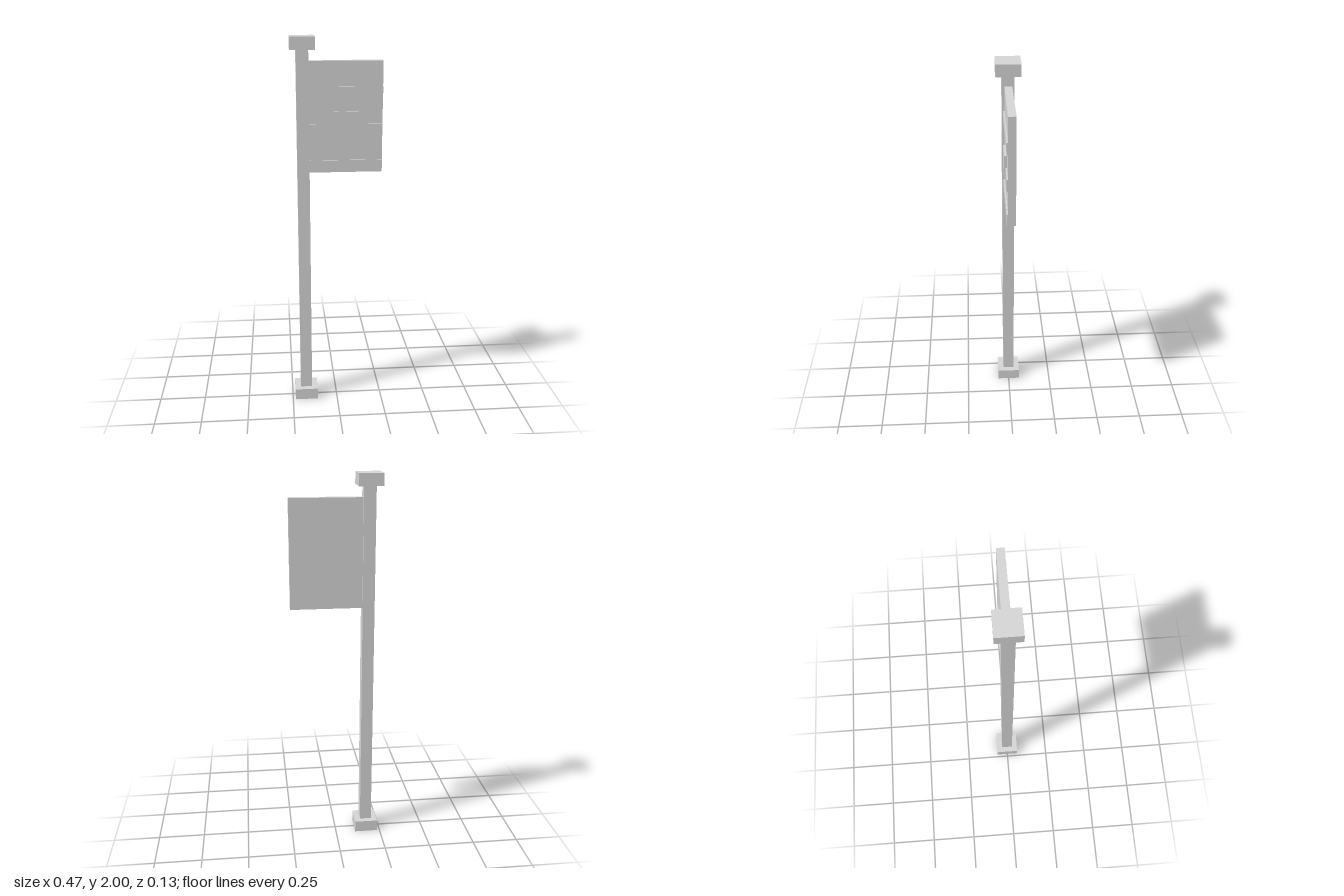
import * as THREE from 'three';

const U = 0.063; // base module of the design

export function createModel() {
  const model = new THREE.Group();
  const lightGrey = new THREE.MeshStandardMaterial({ color: 0xd6d6d6 });
  lightGrey.name = 'lightGrey';

  // Box given by its extents on each axis
  function block(name, [x0, x1], [y0, y1], [z0, z1]) {
    const mesh = new THREE.Mesh(new THREE.BoxGeometry(x1 - x0, y1 - y0, z1 - z0), lightGrey);
    mesh.name = name;
    mesh.position.set((x0 + x1) / 2, (y0 + y1) / 2, (z0 + z1) / 2);
    model.add(mesh);
  }

  // Pole with square foot and cap
  const px = -0.1725;
  block('pole', [px - U / 2, px + U / 2], [U, 2 - U], [-U / 2, U / 2]);
  block('foot', [px - U, px + U], [0, U], [-U, U]);
  block('cap', [px - U, px + U], [2 - U, 2], [-U, U]);

  // Flag panel, nine modules tall
  const flagX = [px + U / 2, 0.2355];
  const top = 1.88;
  const front = 0.0187;
  block('flagPanel', flagX, [top - 9 * U, top], [-0.02, front]);

  // Raised stripes: the last of every three rows
  for (let row = 3; row <= 9; row += 3) {
    block('flagStripe', flagX, [top - row * U, top - (row - 1) * U], [front, 0.025]);
  }

  // Square emblem in the middle of the flag
  block('emblem', [-0.016, 0.11], [top - 6 * U, top - 4 * U], [front, 0.0312]);

  return model;
}
